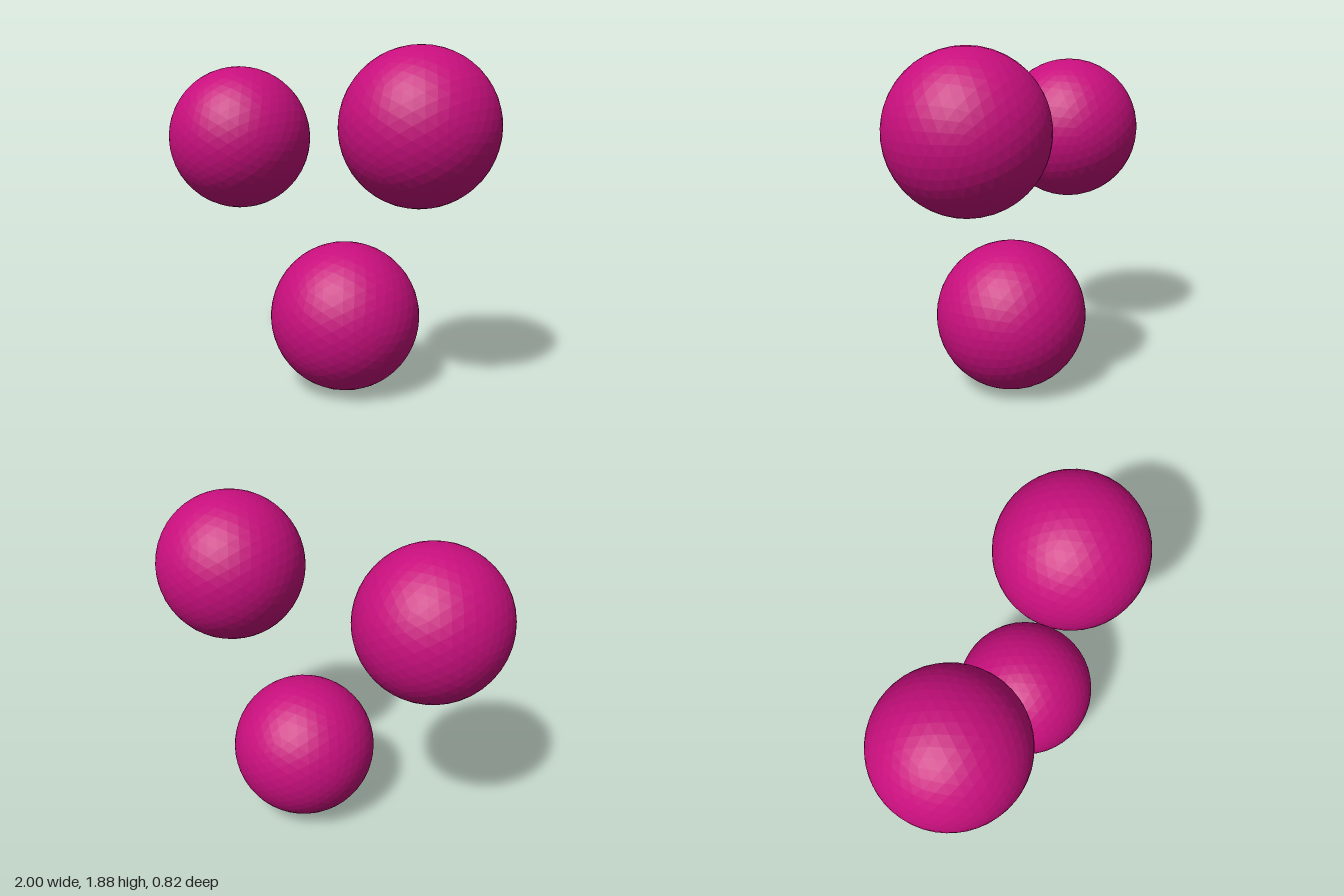
import * as THREE from 'three';

export function createModel() {
  const model = new THREE.Group();
  model.name = 'ballCluster';

  const radius = 0.41;
  const geometry = new THREE.IcosahedronGeometry(radius, 7);
  const material = new THREE.MeshStandardMaterial({ color: 0xc80f7d, flatShading: true });

  // Three equal faceted balls in one upright plane
  const balls = [
    ['lowerBall', 0.15, radius],
    ['upperRightBall', -0.59, 1.36],
    ['upperLeftBall', 0.59, 1.465],
  ];
  for (const [name, x, y] of balls) {
    const ball = new THREE.Mesh(geometry, material);
    ball.name = name;
    ball.position.set(x, y, 0);
    model.add(ball);
  }
  return model;
}
